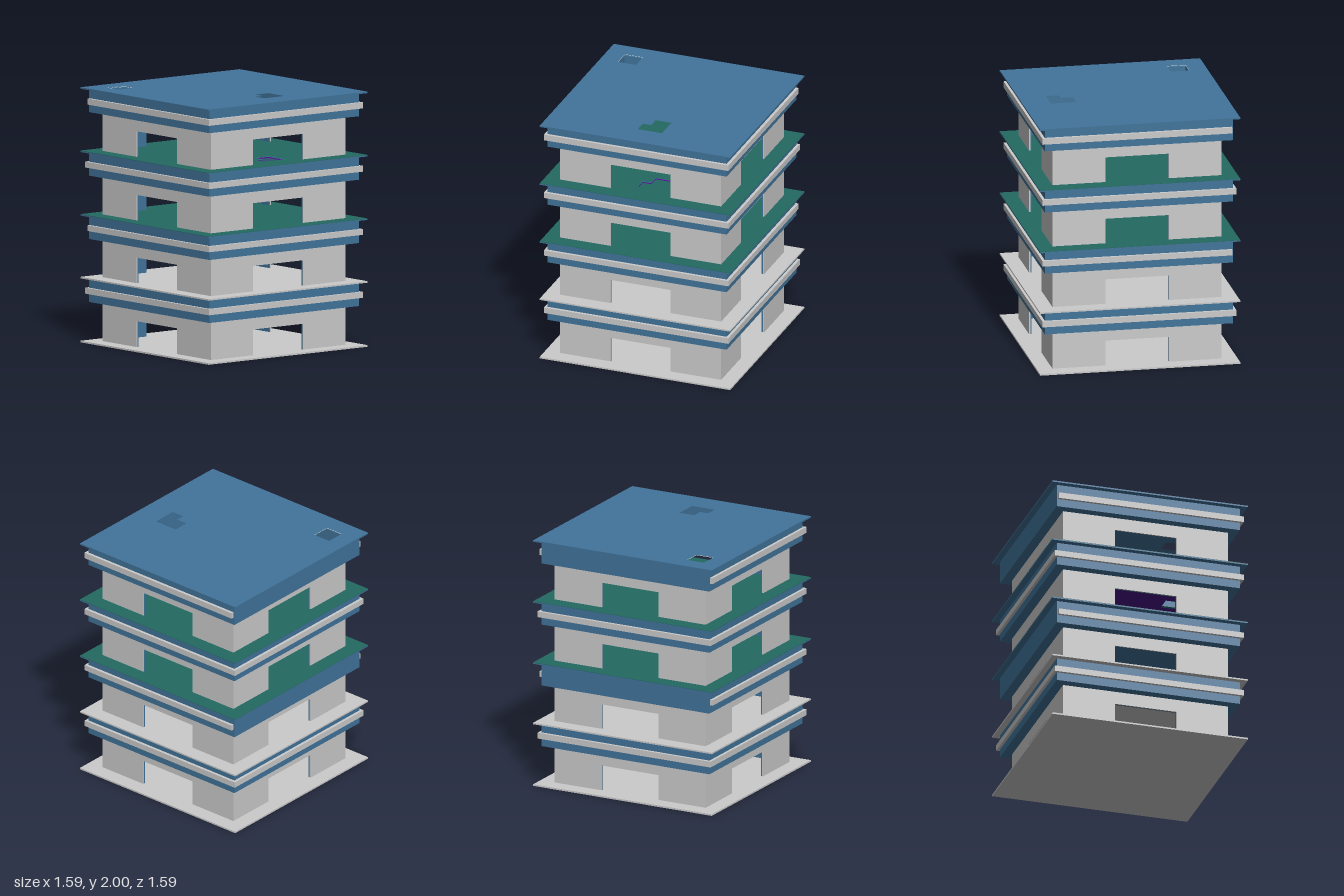
import * as THREE from 'three';

const mat = (color) => new THREE.MeshStandardMaterial({ color });
const grey = mat(0xcccccc), blue = mat(0x41749b), green = mat(0x236a62), purple = mat(0x4b0f8c);

// Openings through floors, as [x, z] outlines
const STAIR = [[0.375, -0.14], [0.575, -0.14], [0.575, 0.06], [0.47, 0.06], [0.47, -0.01], [0.375, -0.01]];
const rect = (x0, x1, z0, z1) => [[x0, z0], [x1, z0], [x1, z1], [x0, z1]];
const square = (h) => rect(-h, h, -h, h);
const SHAFT = rect(-0.65, -0.5, 0.495, 0.645);

const toPoints = (list) => list.map(([x, z]) => new THREE.Vector2(x, -z));

// Horizontal plate with holes between two heights
function plate(name, outline, holes, y0, y1, material) {
  const shape = new THREE.Shape(toPoints(outline));
  for (const hole of holes) shape.holes.push(new THREE.Path(toPoints(hole)));
  const geo = new THREE.ExtrudeGeometry(shape, { depth: y1 - y0, bevelEnabled: false });
  geo.rotateX(-Math.PI / 2).translate(0, y0, 0);
  const mesh = new THREE.Mesh(geo, material);
  mesh.name = name;
  return mesh;
}

// Four wall panels, each with a central doorway open at the bottom
function walls(name, half, thick, y0, y1, doorTop, material) {
  const d = 0.25;
  const shape = new THREE.Shape([[-half, y0], [-d, y0], [-d, doorTop], [d, doorTop], [d, y0], [half, y0],
    [half, y1], [-half, y1]].map(([x, y]) => new THREE.Vector2(x, y)));
  const geo = new THREE.ExtrudeGeometry(shape, { depth: thick, bevelEnabled: false });
  geo.translate(0, 0, half - thick);
  const group = new THREE.Group();
  group.name = name;
  for (let i = 0; i < 4; i++) {
    const panel = new THREE.Mesh(geo, material);
    panel.name = name + 'Panel';
    panel.rotation.y = i * Math.PI / 2;
    group.add(panel);
  }
  return group;
}

// floor: slab bottom/top, band: underside, trim: range, door: top of doorway
const STOREYS = [
  { floor: [0, 0.013], band: 0.318, trim: [0.383, 0.43], door: 0.215, next: 0.502 },
  { floor: [0.502, 0.514], band: 0.812, trim: [0.877, 0.922], door: 0.713, next: 0.994, openSide: true },
  { floor: [0.994, 1.006], band: 1.308, trim: [1.372, 1.418], door: 1.205, next: 1.492, ceiling: purple },
  { floor: [1.492, 1.504], band: 1.806, trim: [1.868, 1.916], door: 1.704, next: 1.988, openSide: true },
];
const SLAB = 0.793;

export function createModel() {
  const model = new THREE.Group();
  model.name = 'tower';

  STOREYS.forEach((s, i) => {
    const storey = new THREE.Group();
    storey.name = 'storey' + (i + 1);
    const [f0, f1] = s.floor;
    const holes = i === 3 ? [STAIR, SHAFT] : i === 2 ? [SHAFT] : [];

    // Floor slab, with a green covering on the upper storeys
    if (i < 2) {
      storey.add(plate('floorSlab', square(SLAB), holes, f0, f1, grey));
    } else {
      storey.add(plate('floorSlab', square(SLAB), holes, f0, f1 - 0.003, blue));
      storey.add(plate('floorCovering', square(SLAB), holes, f1 - 0.003, f1, green));
    }

    // Outer walls and inner lining
    storey.add(walls('wall', 0.67, 0.01, f1, s.next, s.door, grey));
    storey.add(walls('lining', 0.66, 0.01, f1, s.next, s.door, blue));

    // Projecting band above the walls
    storey.add(plate('band', square(0.745), [square(0.655)], s.band, s.next, blue));

    // Trim strip round the band; alternate storeys leave the -x side bare
    const [t0, t1] = s.trim, out = 0.768, inn = 0.735;
    const outline = s.openSide
      ? [[-inn, -out], [out, -out], [out, out], [-inn, out], [-inn, inn], [inn, inn], [inn, -inn], [-inn, -inn]]
      : square(out);
    storey.add(plate('trim', outline, s.openSide ? [] : [square(inn)], t0, t1, grey));

    // Ceiling panel
    if (s.ceiling) storey.add(plate('ceiling', square(0.65), [STAIR, SHAFT], s.next - 0.004, s.next, s.ceiling));
    model.add(storey);
  });

  // Roof
  model.add(plate('roof', square(SLAB), [STAIR, SHAFT], 1.988, 2, blue));

  // Hollow vent shaft below the corner opening
  model.add(plate('ventShaft', rect(-0.654, -0.49, 0.485, 0.654), [rect(-0.649, -0.501, 0.496, 0.644)],
    0.514, 1.997, grey));
  return model;
}
